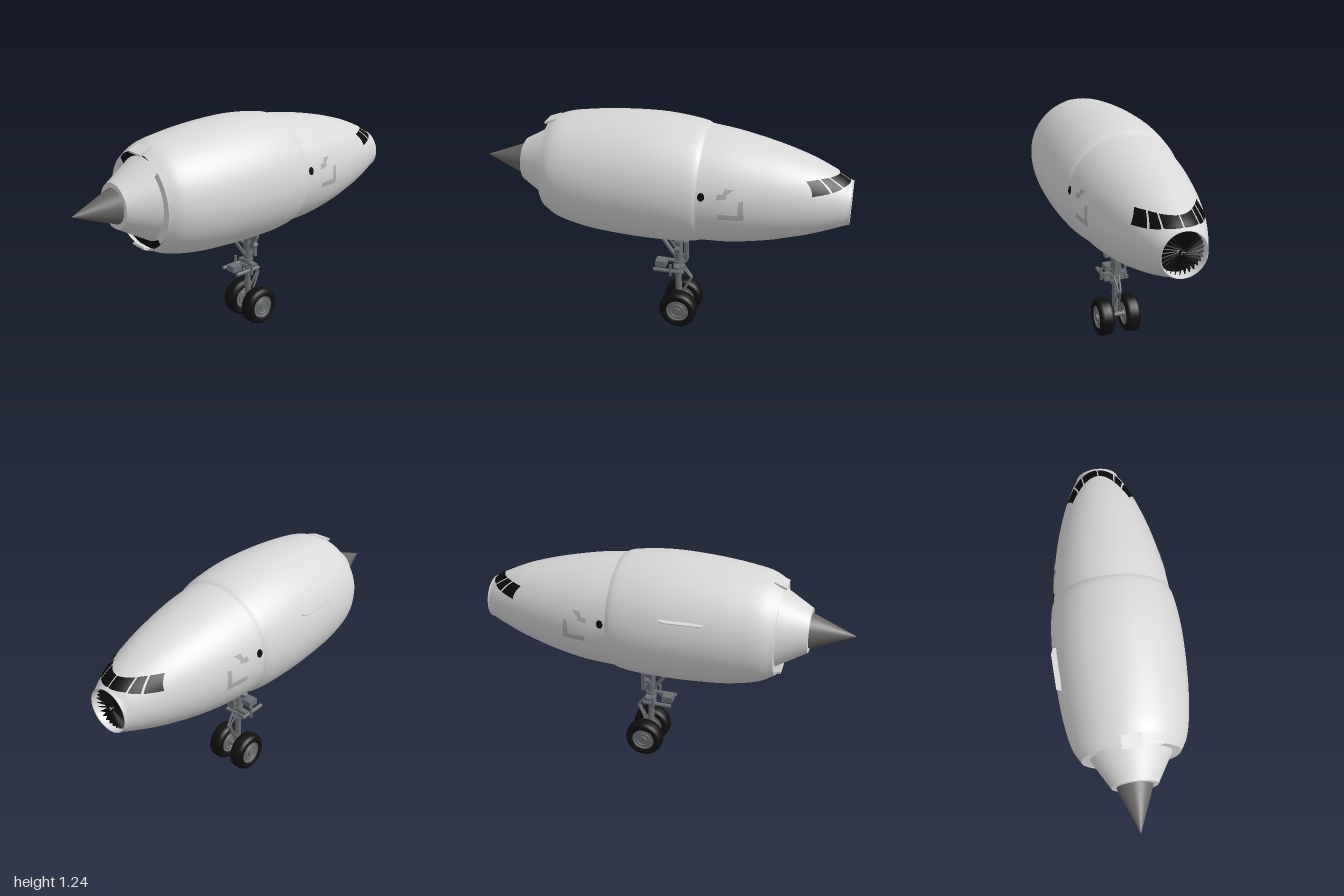
import * as THREE from 'three';
import { mergeVertices } from 'three/addons/utils/BufferGeometryUtils.js';

const mat = (name, color, side = THREE.FrontSide) => {
  const m = new THREE.MeshStandardMaterial({ color, side });
  m.name = name;
  return m;
};
const V = (x, y, z) => new THREE.Vector3(x, y, z);

// Body stations: x, centre height, radius
const cowlStations = [[-0.62, 0.9, 0.25], [-0.55, 0.898, 0.288], [-0.4, 0.893, 0.32], [-0.2, 0.893, 0.338],
  [0, 0.892, 0.342], [0.15, 0.887, 0.332], [0.22, 0.886, 0.32], [0.245, 0.885, 0.309]];
const noseStations = [[0.235, 0.884, 0.311], [0.4, 0.876, 0.296], [0.6, 0.87, 0.258], [0.7, 0.8685, 0.2315],
  [0.8, 0.8655, 0.2005], [0.9, 0.861, 0.161], [0.95, 0.8575, 0.1385], [0.985, 0.852, 0.12], [0.998, 0.851, 0.115]];
const smooth = (s) => new THREE.CatmullRomCurve3(s.map((p) => V(...p))).getPoints(48);
const cowlLine = smooth(cowlStations);
const noseLine = smooth(noseStations);

// Centre height and radius of a body line at x
function section(line, x) {
  let i = 1;
  while (i < line.length - 1 && line[i].x < x) i++;
  const a = line[i - 1], b = line[i];
  const t = THREE.MathUtils.clamp((x - a.x) / (b.x - a.x), 0, 1);
  return { c: a.y + (b.y - a.y) * t, r: a.z + (b.z - a.z) * t };
}

// Round shell along x whose centre follows the line
function shell(line) {
  const g = new THREE.LatheGeometry(line.map((p) => new THREE.Vector2(p.z, p.x)), 80);
  g.rotateZ(-Math.PI / 2);
  const pos = g.attributes.position;
  for (let i = 0; i < pos.count; i++) pos.setY(i, pos.getY(i) + section(line, pos.getX(i)).c);
  g.deleteAttribute('uv');
  g.deleteAttribute('normal');
  const m = mergeVertices(g, 1e-5);
  m.computeVertexNormals();
  return m;
}

// Grid patch between four 2D corners, laid on a surface by a mapping
function patch(corners, map, n = 10) {
  const [a, b, c, d] = corners;
  const g = new THREE.PlaneGeometry(1, 1, n, n);
  const pos = g.attributes.position;
  for (let i = 0; i < pos.count; i++) {
    const u = pos.getX(i) + 0.5, v = pos.getY(i) + 0.5;
    const mix = (k) => (a[k] * (1 - u) + b[k] * u) * (1 - v) + (d[k] * (1 - u) + c[k] * u) * v;
    const p = map(mix(0), mix(1));
    pos.setXYZ(i, p.x, p.y, p.z);
  }
  g.computeVertexNormals();
  return g;
}

// Point on the nose seen from the front (z, y)
function onNose(z, y) {
  let lo = 0.6, hi = 0.998;
  for (let i = 0; i < 30; i++) {
    const x = (lo + hi) / 2, s = section(noseLine, x);
    if (Math.hypot(y - s.c, z) < s.r) lo = x; else hi = x;
  }
  const s = section(noseLine, lo), k = 0.003;
  return V(lo + k * 0.5, y + (k * (y - s.c)) / s.r, z + (k * z) / s.r);
}
// Point on the flank seen from the side (x, y)
const onSide = (side) => (x, y) => {
  const s = section(noseLine, x);
  return V(x, y, side * (Math.sqrt(Math.max(0, s.r ** 2 - (y - s.c) ** 2)) + 0.003));
};

export function createModel() {
  const model = new THREE.Group();
  model.name = 'engineAircraft';
  const white = mat('paintWhite', 0xd8d8d8, THREE.DoubleSide);
  const black = mat('glassBlack', 0x0b0b0b, THREE.DoubleSide);
  const tail = mat('exhaustGrey', 0x696765);
  const metal = mat('gearGrey', 0x6c6f71);
  const rubber = mat('tyreBlack', 0x101010);
  const mark = mat('markGrey', 0xb2b2b2, THREE.DoubleSide);

  const add = (name, geo, material, parent = model) => {
    const m = new THREE.Mesh(geo, material);
    m.name = name;
    parent.add(m);
    return m;
  };
  // Cylinder between two points
  const rod = (name, a, b, r, material = metal, parent = model, r2 = r, open = false) => {
    const p = V(...a), q = V(...b), d = q.clone().sub(p);
    const m = add(name, new THREE.CylinderGeometry(r2, r, d.length(), r > 0.05 ? 64 : 16, 1, open), material, parent);
    m.position.copy(p).add(q).multiplyScalar(0.5);
    m.quaternion.setFromUnitVectors(V(0, 1, 0), d.normalize());
    return m;
  };
  const box = (name, size, at, material = metal, parent = model) => {
    const m = add(name, new THREE.BoxGeometry(...size), material, parent);
    m.position.set(...at);
    return m;
  };

  // Body shells
  add('cowl', shell(cowlLine), white);
  add('nose', shell(noseLine), white);

  // Intake duct, lip and fan
  const iy = 0.851;
  rod('intakeDuct', [0.92, iy, 0], [0.998, iy, 0], 0.108, white, model, 0.113, true);
  const lip = add('intakeLip', new THREE.TorusGeometry(0.114, 0.003, 8, 64), white);
  lip.rotation.y = Math.PI / 2;
  lip.position.set(0.998, iy, 0);
  rod('fanBack', [0.925, iy, 0], [0.935, iy, 0], 0.109, black);
  const fan = new THREE.Group();
  fan.name = 'fan';
  fan.position.set(0.958, iy, 0);
  model.add(fan);
  for (let i = 0; i < 28; i++) {
    const g = new THREE.BoxGeometry(0.036, 0.092, 0.004);
    g.rotateY(0.55);
    g.translate(0, 0.062, 0);
    add('fanBlade', g, black, fan).rotation.x = (i / 28) * Math.PI * 2;
  }
  rod('spinner', [-0.02, 0, 0], [0.025, 0, 0], 0.022, black, fan, 0.004);
  const swirl = add('spinnerMark', new THREE.TorusGeometry(0.007, 0.0015, 6, 20, 4.5), white, fan);
  swirl.rotation.y = Math.PI / 2;
  swirl.position.x = 0.024;

  // Cockpit windows, three panes each side: corners as (z, y)
  const panes = [
    [[0.003, 0.973], [0.083, 0.968], [0.078, 1.012], [0.003, 1.01]],
    [[0.09, 0.965], [0.129, 0.955], [0.112, 1.014], [0.084, 1.013]],
    [[0.136, 0.953], [0.181, 0.946], [0.152, 1.013], [0.118, 1.014]],
  ];
  for (const s of [1, -1]) {
    for (const p of panes) add('window', patch(p.map(([z, y]) => [z * s, y]), onNose), black);
    // Porthole and flank marks
    const dot = new THREE.CircleGeometry(0.018, 24);
    const pos = dot.attributes.position;
    for (let i = 0; i < pos.count; i++) {
      const q = onSide(s)(0.27 + pos.getX(i), 0.94 + pos.getY(i) * 1.2);
      pos.setXYZ(i, q.x, q.y, q.z);
    }
    dot.computeVertexNormals();
    add('porthole', dot, black);
    const marks = [
      [[0.345, 0.93], [0.4, 0.937], [0.395, 0.958], [0.35, 0.958]],
      [[0.375, 0.958], [0.4, 0.958], [0.43, 0.985], [0.385, 0.985]],
      [[0.355, 0.825], [0.485, 0.82], [0.485, 0.848], [0.36, 0.853]],
      [[0.455, 0.848], [0.485, 0.848], [0.48, 0.93], [0.458, 0.925]],
    ];
    for (const q of marks) add('flankMark', patch(q, onSide(s), 6), mark);
  }

  // Exhaust: dark annulus, white side covers, nozzle and plug
  const ring = (name, x, a, b, start, len, material) => {
    const m = add(name, new THREE.RingGeometry(a, b, 64, 1, start, len), material);
    m.rotation.y = -Math.PI / 2;
    m.position.set(x, 0.903, 0);
  };
  ring('bypassDuct', -0.595, 0.17, 0.258, 0, Math.PI * 2, black);
  for (const a of [0, Math.PI]) ring('ductCover', -0.617, 0.19, 0.249, a - 0.85, 1.7, white);
  rod('nozzle', [-0.56, 0.905, 0], [-0.77, 0.907, 0], 0.239, white, model, 0.117);
  rod('exhaustPlug', [-0.765, 0.907, 0], [-1, 0.908, 0], 0.094, tail, model, 0.002);
  for (const s of [1, -1]) {
    const tab = box('cowlTab', [0.07, 0.012, 0.1], [-0.605, 0.903 + s * 0.256, 0], white);
    tab.rotation.z = s * 0.35;
  }

  // Strake on one flank and belly mast
  const plate = new THREE.Shape([[-0.28, 0.31], [-0.05, 0.31], [-0.05, 0.333], [-0.08, 0.345], [-0.27, 0.335]]
    .map((p) => new THREE.Vector2(...p)));
  const strake = add('strake', new THREE.ExtrudeGeometry(plate, { depth: 0.005, bevelEnabled: false }), white);
  strake.rotation.x = -Math.PI / 2;
  strake.position.y = 1.02;
  const mast = new THREE.Shape([[0.26, 0.585], [0.32, 0.585], [0.285, 0.53], [0.275, 0.53]]
    .map((p) => new THREE.Vector2(...p)));
  add('bellyMast', new THREE.ExtrudeGeometry(mast, { depth: 0.006, bevelEnabled: false }), white).position.z = -0.003;

  // Landing gear leg
  const gear = new THREE.Group();
  gear.name = 'landingGear';
  model.add(gear);
  const leg = (n, a, b, r) => rod(n, a, b, r, metal, gear);
  leg('upperLeg', [0.092, 0.36, 0], [0.092, 0.6, 0], 0.024);
  leg('lowerLeg', [0.092, 0.2, 0], [0.092, 0.38, 0], 0.017);
  leg('legFoot', [0.1, 0.1, 0], [0.092, 0.24, 0], 0.018);
  leg('axle', [0.11, 0.107, -0.11], [0.11, 0.107, 0.11], 0.013);
  for (const y of [0.305, 0.34, 0.375]) leg('legCollar', [0.092, y - 0.008, 0], [0.092, y + 0.008, 0], 0.03);
  leg('dragBrace', [-0.045, 0.57, 0], [0.075, 0.4, 0], 0.011);
  box('gearPanel', [0.02, 0.12, 0.036], [0.136, 0.445, 0], metal, gear);
  box('panelArm', [0.06, 0.016, 0.02], [0.115, 0.41, 0], metal, gear);
  // Steering unit
  box('steeringBar', [0.03, 0.018, 0.13], [0.092, 0.355, 0], metal, gear);
  box('steeringBarLower', [0.03, 0.014, 0.11], [0.092, 0.325, 0], metal, gear);
  box('towFitting', [0.06, 0.035, 0.06], [-0.008, 0.35, 0], metal, gear);
  for (const s of [1, -1]) {
    leg('sideBrace', [0.06, 0.58, s * 0.115], [0.09, 0.45, s * 0.02], 0.008);
    leg('steeringArm', [-0.04, 0.335, s * 0.06], [0.12, 0.335, s * 0.06], 0.011);
    leg('steeringPin', [0.06, 0.31, s * 0.07], [0.06, 0.38, s * 0.07], 0.008);
    leg('lamp', [0.08, 0.525, s * 0.045], [0.112, 0.525, s * 0.045], 0.025);
    leg('smallLamp', [0.08, 0.475, s * 0.052], [0.11, 0.475, s * 0.052], 0.015);
    // Torque links
    leg('torqueLinkUpper', [0.115, 0.345, s * 0.015], [0.168, 0.275, s * 0.006], 0.006);
    leg('torqueLinkLower', [0.168, 0.275, s * 0.006], [0.115, 0.17, s * 0.015], 0.006);

    // Wheels
    const wheel = new THREE.Group();
    wheel.name = 'wheel';
    wheel.position.set(0.11, 0.107, s * 0.077);
    wheel.rotation.x = Math.PI / 2;
    gear.add(wheel);
    const tyre = [[0.062, -0.034], [0.075, -0.042], [0.09, -0.041], [0.101, -0.033], [0.107, -0.018]];
    const profile = [...tyre, ...tyre.map(([r, y]) => [r, -y]).reverse()].map((p) => new THREE.Vector2(...p));
    add('tyre', new THREE.LatheGeometry(profile, 48), rubber, wheel);
    add('hub', new THREE.CylinderGeometry(0.064, 0.064, 0.062, 40), metal, wheel);
    add('hubCap', new THREE.CylinderGeometry(0.02, 0.02, 0.084, 24), metal, wheel);
    for (const e of [1, -1]) {
      for (const r of [0.04, 0.06]) {
        const rim = add('hubRing', new THREE.TorusGeometry(r, 0.005, 8, 40), metal, wheel);
        rim.rotation.x = Math.PI / 2;
        rim.position.y = e * 0.032;
      }
    }
  }
  return model;
}
